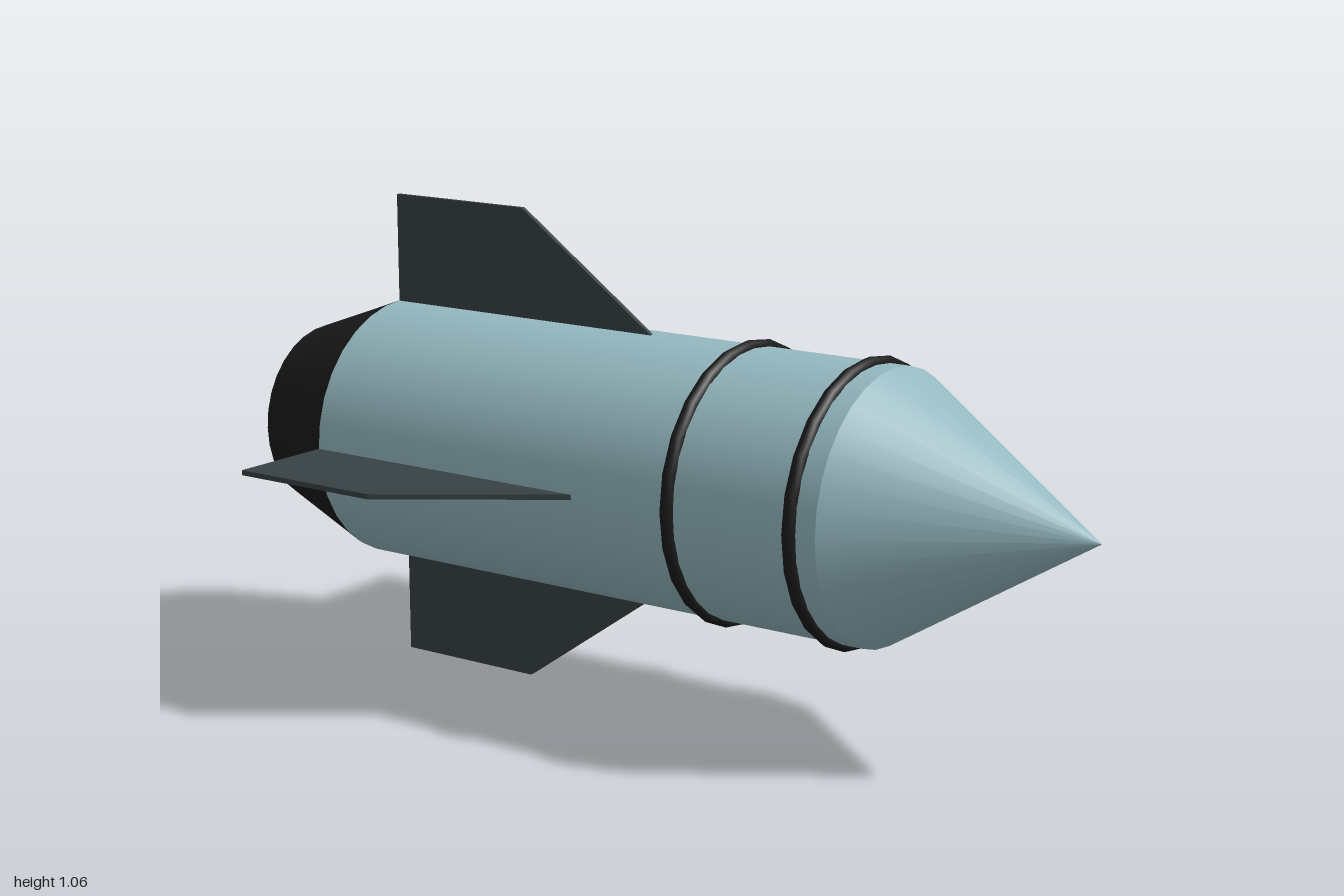
import * as THREE from 'three';

const R = 0.29, AXIS_Y = 0.53;
const NOSE_Z = 0.53, TAIL_Z = -0.765;

export function createModel() {
  const group = new THREE.Group();
  const paint = new THREE.MeshStandardMaterial({ color: 0x94b8c0 });
  const black = new THREE.MeshStandardMaterial({ color: 0x1a1a1a });
  const finMat = new THREE.MeshStandardMaterial({ color: 0x374144 });

  const add = (name, geometry, material) => {
    const mesh = new THREE.Mesh(geometry, material);
    mesh.name = name;
    group.add(mesh);
    return mesh;
  };

  // Round section along z, from the back to the front
  const section = (name, rFront, rBack, zBack, zFront, material) => {
    const geo = new THREE.CylinderGeometry(rFront, rBack, zFront - zBack, 32);
    geo.rotateX(Math.PI / 2);
    geo.translate(0, 0, (zBack + zFront) / 2);
    return add(name, geo, material);
  };

  section('body', R, R, TAIL_Z, NOSE_Z, paint);
  section('noseCone', 0, R, NOSE_Z, 1, paint);
  section('tailNozzle', R, 0.205, -1, TAIL_Z, black);

  // Bands around the front of the body
  [0.47, 0.177].forEach((z, i) => {
    const ring = add(i ? 'rearBand' : 'frontBand', new THREE.TorusGeometry(R, 0.015, 8, 24), black);
    ring.position.z = z;
  });

  // Four swept fins, each set to one side of its radial plane
  const finShape = new THREE.Shape([
    [0.06, R - 0.005], [0.41, 0.53], [-TAIL_Z, 0.53], [-TAIL_Z, R - 0.005],
  ].map(([a, r]) => new THREE.Vector2(a, r)));
  const finGeo = new THREE.ExtrudeGeometry(finShape, { depth: 0.011, bevelEnabled: false });
  finGeo.rotateY(Math.PI / 2); // outline runs toward -z, thickness toward +x
  finGeo.translate(-0.011, 0, 0);
  ['topFin', 'leftFin', 'bottomFin', 'rightFin'].forEach((name, i) => {
    add(name, finGeo, finMat).rotation.z = -i * Math.PI / 2;
  });

  // Raise the axis so the lowest fin touches the ground
  group.children.forEach((part) => { part.position.y = AXIS_Y; });
  return group;
}
